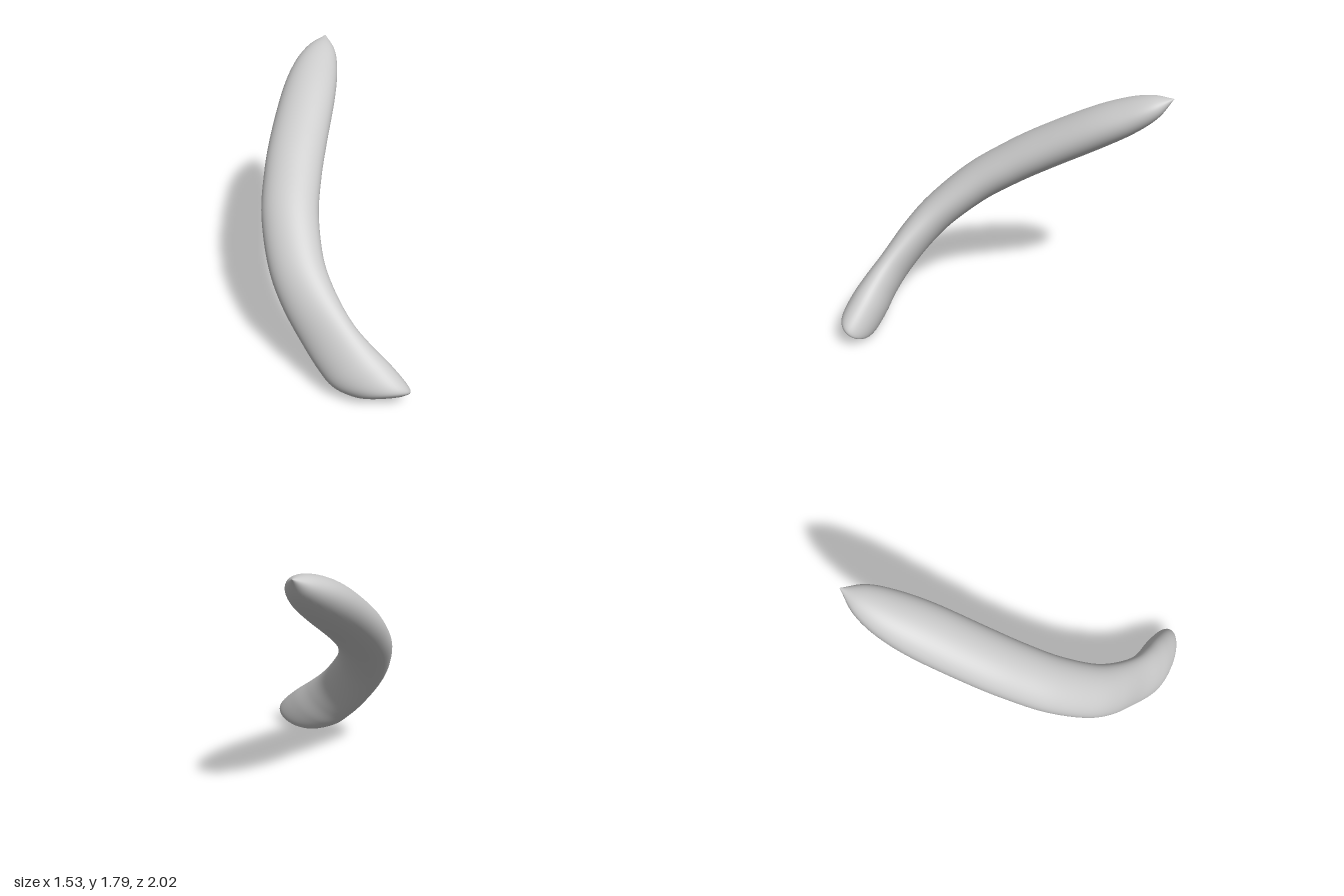
import * as THREE from 'three';

// Tilted frame: the horn bends in the plane of x and "along"; "across" is its thickness
const S = Math.SQRT1_2;
const ALONG = new THREE.Vector3(0, S, -S);
const ACROSS = new THREE.Vector3(0, S, S);

// Sections from base to tip:
// [x, along, across, half width, half thickness, lean in degrees, skew along, skew sideways]
const SECTIONS = [
  [-0.53, -0.58, 0.65, 0, 0, 22, -0.25, 0.33],
  [-0.535, -0.565, 0.648, 0.1, 0.12, 22, -0.25, 0.33],
  [-0.55, -0.515, 0.645, 0.15, 0.182, 20, -0.25, 0.33],
  [-0.59, -0.36, 0.62, 0.15, 0.2, 6, -0.12, 0.33],
  [-0.62, -0.2, 0.6, 0.132, 0.193, -2, -0.04, 0.33],
  [-0.63, 0, 0.58, 0.119, 0.185, 0, 0, 0.33],
  [-0.61, 0.28, 0.57, 0.137, 0.178, 9, 0, 0.33],
  [-0.545, 0.53, 0.566, 0.156, 0.172, 22, 0, 0.33],
  [-0.39, 0.83, 0.566, 0.173, 0.17, 35, 0, 0.33],
  [-0.2, 1.07, 0.566, 0.18, 0.17, 42, 0, 0.33],
  [0, 1.28, 0.566, 0.183, 0.17, 46, 0, 0.33],
  [0.3, 1.56, 0.563, 0.175, 0.165, 48, 0, 0.33],
  [0.5, 1.735, 0.56, 0.15, 0.137, 49, 0, 0.33],
  [0.65, 1.86, 0.563, 0.095, 0.087, 49, 0, 0.33],
  [0.76, 1.955, 0.569, 0, 0, 49, 0, 0.33],
];

// Smooth curve through three columns of the section table
const through = (a, b, c) => new THREE.CatmullRomCurve3(
  SECTIONS.map((s) => new THREE.Vector3(s[a], s[b], s[c])), false, 'catmullrom', 0.5);

function hornGeometry(rings = 112, sides = 48) {
  const centres = through(0, 1, 2);
  const sizes = through(3, 4, 5);
  const skews = through(5, 6, 7);
  const positions = [], index = [];
  for (let i = 0; i <= rings; i++) {
    const t = i / rings;
    const c = centres.getPoint(t), size = sizes.getPoint(t), skew = skews.getPoint(t);
    const angle = THREE.MathUtils.degToRad(skew.x);
    const centre = new THREE.Vector3(c.x, 0, 0).addScaledVector(ALONG, c.y).addScaledVector(ACROSS, c.z);
    const wide = new THREE.Vector3(Math.cos(angle), 0, 0).addScaledVector(ALONG, -Math.sin(angle));
    const thick = ACROSS.clone().addScaledVector(ALONG, skew.y).addScaledVector(wide, skew.z);
    for (let j = 0; j < sides; j++) {
      const a = (j / sides) * Math.PI * 2;
      const p = centre.clone()
        .addScaledVector(wide, Math.max(0, size.x) * Math.cos(a))
        .addScaledVector(thick, Math.max(0, size.y) * Math.sin(a));
      positions.push(p.x, p.y, p.z);
      if (i < rings) {
        const k = i * sides + j, n = i * sides + (j + 1) % sides;
        index.push(k, k + sides, n, n, k + sides, n + sides);
      }
    }
  }
  const geometry = new THREE.BufferGeometry();
  geometry.setAttribute('position', new THREE.Float32BufferAttribute(positions, 3));
  geometry.setIndex(index);
  geometry.computeVertexNormals();
  return geometry;
}

export function createModel() {
  const group = new THREE.Group();
  group.name = 'curvedHorn';
  const horn = new THREE.Mesh(hornGeometry(), new THREE.MeshStandardMaterial({ color: 0xcccccc }));
  horn.name = 'horn';

  // Centre it and stand it on the ground
  horn.geometry.computeBoundingBox();
  const box = horn.geometry.boundingBox, mid = box.getCenter(new THREE.Vector3());
  horn.position.set(-mid.x, -box.min.y, -mid.z);
  group.add(horn);
  return group;
}
